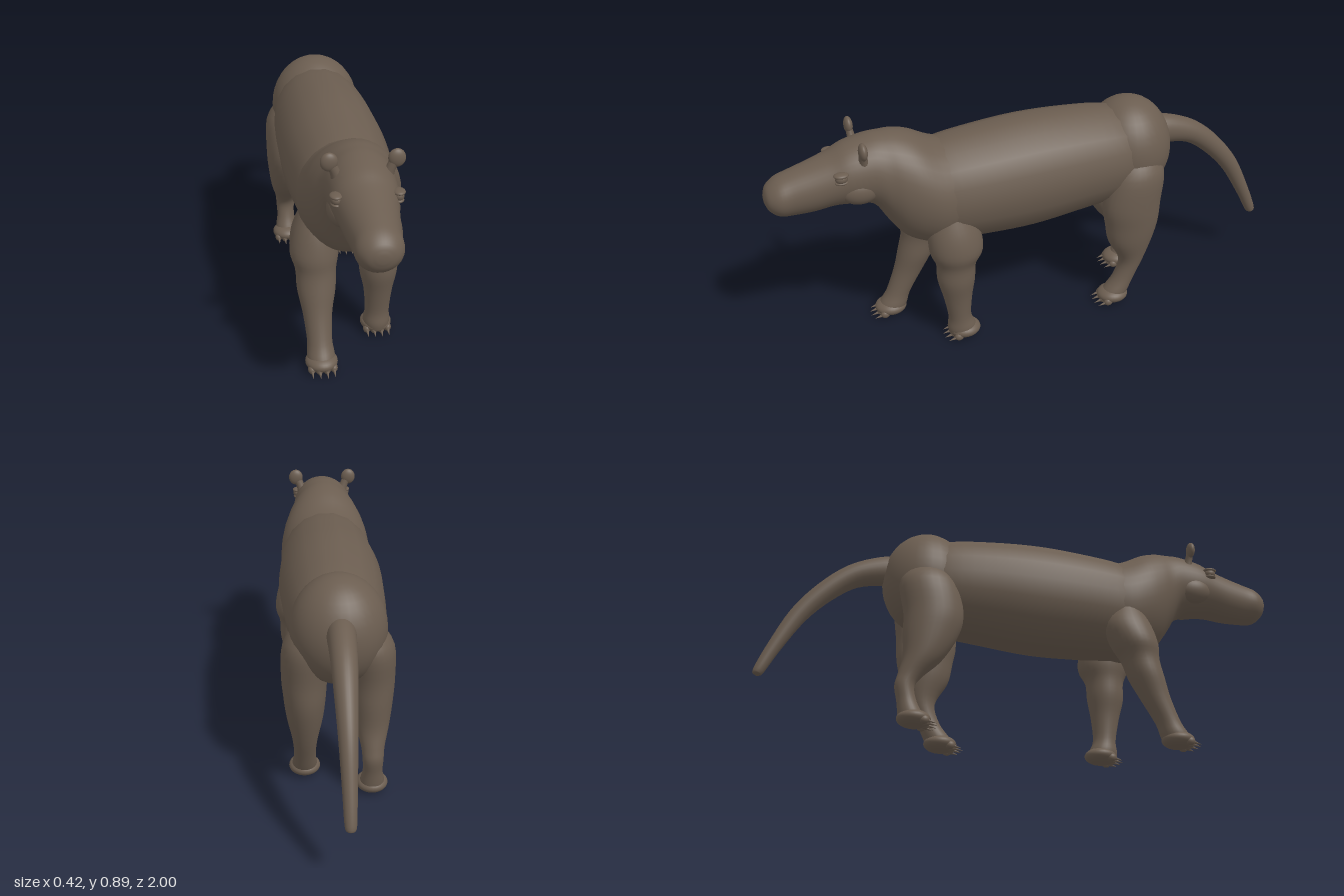
import * as THREE from 'three';

const hide = new THREE.MeshStandardMaterial({ color: 0x6b5d50 });
hide.name = 'brown hide';

// Skin through elliptical sections [x, y, z, radiusX, radiusN].
// dir fixes the travel direction of the rings; without it rings follow the path.
function loft(name, sections, { dir = null, sides = 28, steps = 4 } = {}) {
  const path = new THREE.CatmullRomCurve3(sections.map(s => new THREE.Vector3(s[0], s[1], s[2])), false, 'catmullrom');
  const size = new THREE.CatmullRomCurve3(sections.map(s => new THREE.Vector3(s[3], s[4], 0)), false, 'catmullrom');
  const n = (sections.length - 1) * steps;
  const pos = [], idx = [];
  for (let i = 0; i <= n; i++) {
    const c = path.getPoint(i / n), r = size.getPoint(i / n);
    const t = dir || path.getTangent(i / n);
    const len = Math.hypot(t.y, t.z);
    for (let j = 0; j < sides; j++) {
      const a = (j / sides) * Math.PI * 2, s = Math.sin(a) * r.y / len;
      pos.push(c.x + Math.cos(a) * r.x, c.y + t.z * s, c.z - t.y * s);
    }
  }
  for (let i = 0; i < n; i++) {
    for (let j = 0; j < sides; j++) {
      const k = (j + 1) % sides;
      const a = i * sides + j, b = i * sides + k, c = a + sides, d = b + sides;
      idx.push(a, b, d, a, d, c);
    }
  }
  // end caps
  const first = path.getPoint(0), last = path.getPoint(1), p = (n + 1) * sides;
  pos.push(first.x, first.y, first.z, last.x, last.y, last.z);
  for (let j = 0; j < sides; j++) {
    const k = (j + 1) % sides;
    idx.push(p, k, j, p + 1, n * sides + j, n * sides + k);
  }
  const g = new THREE.BufferGeometry();
  g.setAttribute('position', new THREE.Float32BufferAttribute(pos, 3));
  g.setIndex(idx);
  g.computeVertexNormals();
  const m = new THREE.Mesh(g, hide);
  m.name = name;
  return m;
}

function ellipsoid(name, x, y, z, rx, ry, rz) {
  const m = new THREE.Mesh(new THREE.SphereGeometry(1, 32, 20), hide);
  m.name = name;
  m.position.set(x, y, z);
  m.scale.set(rx, ry, rz);
  return m;
}

const FORWARD = new THREE.Vector3(0, 0, 1);
const DOWN = new THREE.Vector3(0, -1, 0);

// Sections given as [z, top, bottom, halfWidth]
const alongZ = rows => rows.map(([z, t, b, w]) => [0, (t + b) / 2, z, w, (t - b) / 2]);

// Leg from rows [y, z, offset, radiusX, radiusZ], ending in a paw with four claws
function leg(name, side, rows, pawZ) {
  const g = new THREE.Group();
  g.name = name;
  g.add(loft('limb', rows.map(([y, z, x, rx, rz]) => [side * x, y, z, rx, rz]), { dir: DOWN }));
  g.add(ellipsoid('paw', side * 0.12, 0.034, pawZ, 0.058, 0.031, 0.062));
  for (let i = 0; i < 4; i++) {
    const o = (i - 1.5) * 0.026, back = Math.abs(i - 1.5) * 0.008;
    const x = side * 0.12 + o;
    g.add(ellipsoid('toe', x, 0.022, pawZ + 0.045 - back, 0.014, 0.016, 0.018));
    const claw = new THREE.Mesh(new THREE.ConeGeometry(0.008, 0.04, 10), hide);
    claw.name = 'claw';
    claw.position.set(x, 0.016, pawZ + 0.069 - back);
    claw.rotation.x = Math.PI / 2 + 0.25;
    g.add(claw);
  }
  return g;
}

export function createModel() {
  const model = new THREE.Group();
  model.name = 'animal';

  // Barrel of the body
  model.add(loft('torso', alongZ([
    [-0.44, 0.77, 0.48, 0.13], [-0.32, 0.81, 0.435, 0.172], [-0.15, 0.827, 0.412, 0.19],
    [0.03, 0.832, 0.392, 0.197], [0.2, 0.82, 0.392, 0.193], [0.36, 0.8, 0.4, 0.178], [0.44, 0.77, 0.43, 0.15],
  ]), { dir: FORWARD, sides: 18 }));

  // Chest, neck and long snout in one skin
  model.add(loft('headAndChest', alongZ([
    [0.28, 0.78, 0.42, 0.165], [0.38, 0.806, 0.395, 0.181], [0.46, 0.847, 0.415, 0.174],
    [0.52, 0.865, 0.455, 0.156], [0.57, 0.868, 0.525, 0.134], [0.62, 0.866, 0.6, 0.121],
    [0.7, 0.848, 0.618, 0.113], [0.76, 0.82, 0.622, 0.101], [0.83, 0.796, 0.612, 0.09],
    [0.9, 0.775, 0.61, 0.08], [0.95, 0.757, 0.615, 0.076], [0.984, 0.73, 0.64, 0.052], [0.997, 0.7, 0.67, 0.018],
  ]), { dir: FORWARD, sides: 36 }));

  // Rump and tail
  model.add(ellipsoid('rump', 0, 0.635, -0.392, 0.172, 0.2, 0.168));
  model.add(loft('tail', [
    [0, 0.67, -0.48, 0.055, 0.07], [0, 0.672, -0.56, 0.05, 0.058], [0, 0.638, -0.67, 0.045, 0.046],
    [0, 0.56, -0.77, 0.039, 0.04], [0, 0.455, -0.86, 0.032, 0.034], [0, 0.32, -0.935, 0.025, 0.026],
    [0, 0.22, -0.982, 0.02, 0.02], [0, 0.202, -0.989, 0.011, 0.011],
  ]));

  // Ears, eyes and cheeks
  for (const s of [1, -1]) {
    const ear = new THREE.Group();
    ear.name = s > 0 ? 'leftEar' : 'rightEar';
    ear.add(ellipsoid('earTip', s * 0.11, 0.858, 0.658, 0.029, 0.032, 0.016));
    ear.add(loft('earStalk', [
      [s * 0.075, 0.785, 0.65, 0.026, 0.02], [s * 0.09, 0.822, 0.655, 0.018, 0.015], [s * 0.106, 0.855, 0.658, 0.02, 0.012],
    ], { dir: new THREE.Vector3(0, 1, 0), sides: 16 }));
    model.add(ear);

    const eye = new THREE.Group();
    eye.name = s > 0 ? 'leftEye' : 'rightEye';
    eye.add(ellipsoid('eyeball', s * 0.1, 0.765, 0.738, 0.019, 0.019, 0.022));
    eye.add(ellipsoid('upperLid', s * 0.101, 0.778, 0.738, 0.021, 0.009, 0.027));
    eye.add(ellipsoid('lowerLid', s * 0.1, 0.75, 0.738, 0.018, 0.008, 0.024));
    model.add(eye);

    model.add(ellipsoid(s > 0 ? 'leftCheek' : 'rightCheek', s * 0.073, 0.695, 0.67, 0.047, 0.055, 0.075));
  }

  // Forelegs, the right one stepping forward
  model.add(leg('leftForeleg', 1, [
    [0.57, 0.36, 0.1, 0.06, 0.06], [0.48, 0.35, 0.115, 0.082, 0.095], [0.4, 0.345, 0.122, 0.087, 0.1],
    [0.34, 0.348, 0.12, 0.073, 0.075], [0.27, 0.35, 0.121, 0.069, 0.071], [0.19, 0.347, 0.122, 0.053, 0.055],
    [0.1, 0.342, 0.121, 0.045, 0.044], [0.05, 0.335, 0.12, 0.05, 0.055], [0.02, 0.335, 0.12, 0.045, 0.05],
  ], 0.325));
  model.add(leg('rightForeleg', -1, [
    [0.57, 0.37, 0.1, 0.06, 0.06], [0.48, 0.375, 0.115, 0.082, 0.095], [0.4, 0.4, 0.122, 0.087, 0.09],
    [0.34, 0.42, 0.12, 0.073, 0.073], [0.27, 0.441, 0.121, 0.069, 0.068], [0.19, 0.473, 0.122, 0.053, 0.057],
    [0.1, 0.517, 0.121, 0.045, 0.048], [0.05, 0.542, 0.12, 0.05, 0.055], [0.02, 0.55, 0.12, 0.045, 0.05],
  ], 0.553));

  // Hind legs, the right one bent at the hock
  model.add(leg('leftHindLeg', 1, [
    [0.65, -0.39, 0.09, 0.06, 0.07], [0.57, -0.385, 0.112, 0.085, 0.11], [0.45, -0.367, 0.12, 0.083, 0.117],
    [0.36, -0.37, 0.12, 0.076, 0.108], [0.28, -0.368, 0.12, 0.066, 0.09], [0.19, -0.375, 0.12, 0.046, 0.05],
    [0.11, -0.346, 0.12, 0.04, 0.043], [0.05, -0.31, 0.12, 0.046, 0.052], [0.02, -0.3, 0.12, 0.042, 0.045],
  ], -0.3));
  model.add(leg('rightHindLeg', -1, [
    [0.65, -0.4, 0.09, 0.06, 0.07], [0.57, -0.395, 0.112, 0.085, 0.11], [0.45, -0.375, 0.12, 0.083, 0.112],
    [0.36, -0.385, 0.12, 0.076, 0.1], [0.27, -0.41, 0.12, 0.062, 0.072], [0.2, -0.452, 0.12, 0.043, 0.045],
    [0.155, -0.47, 0.12, 0.038, 0.036], [0.1, -0.46, 0.12, 0.036, 0.036], [0.05, -0.445, 0.12, 0.044, 0.045],
    [0.02, -0.44, 0.12, 0.042, 0.045],
  ], -0.432));

  return model;
}
